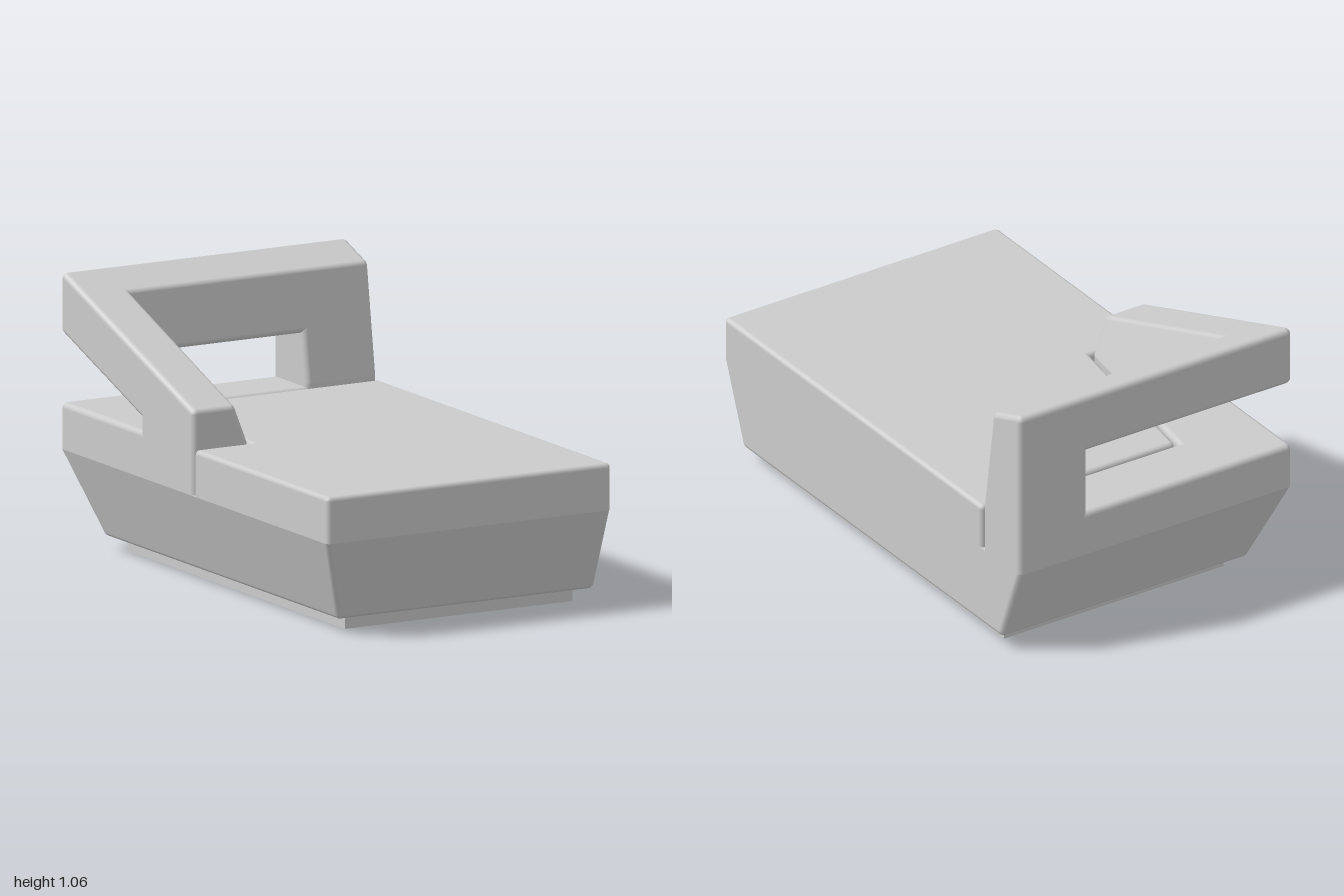
import * as THREE from 'three';
import { ConvexGeometry } from 'three/addons/geometries/ConvexGeometry.js';

const material = new THREE.MeshStandardMaterial({ color: 0xcccccc });
const V = (x, y, z) => new THREE.Vector3(x, y, z);

// Half-space: outward normal n, through point p; sharp planes get no rounding
function plane(n, p, sharp = false) {
  const normal = V(...n).normalize();
  return { n: normal, d: normal.dot(V(...p)), sharp };
}
const left = (x) => plane([-1, 0, 0], [x, 0, 0]);
const right = (x) => plane([1, 0, 0], [x, 0, 0]);
const front = (z) => plane([0, 0, 1], [0, 0, z]);
const back = (z) => plane([0, 0, -1], [0, 0, z]);
const top = (y, sharp) => plane([0, 1, 0], [0, y, 0], sharp);
const bottom = (y, sharp) => plane([0, -1, 0], [0, y, 0], sharp);

// Point where three planes meet
function meet(a, b, c, da, db, dc) {
  const bc = b.clone().cross(c), ca = c.clone().cross(a), ab = a.clone().cross(b);
  const det = a.dot(bc);
  if (Math.abs(det) < 1e-6) return null;
  return bc.multiplyScalar(da).addScaledVector(ca, db).addScaledVector(ab, dc).divideScalar(det);
}

// Convex solid bounded by planes, with edges and corners rounded to radius r
function roundedSolid(name, planes, r = 0.022) {
  const N = 4, points = [], normals = [];
  const dist = planes.map((p) => p.d - (p.sharp ? 0 : r));
  for (let i = 0; i < planes.length; i++)
    for (let j = i + 1; j < planes.length; j++)
      for (let k = j + 1; k < planes.length; k++) {
        const trio = [planes[i], planes[j], planes[k]];
        const c = meet(...trio.map((p) => p.n), dist[i], dist[j], dist[k]);
        if (!c || planes.some((p, m) => p.n.dot(c) > dist[m] + 1e-6)) continue;
        const sharp = trio.find((p) => p.sharp);
        const round = trio.filter((p) => !p.sharp);
        for (let a = 0; a <= N; a++)
          for (let b = 0; b <= N - a; b++) {
            if (sharp && a + b < N) continue;
            const dir = V(0, 0, 0).addScaledVector(round[0].n, a).addScaledVector(round[1].n, b);
            if (!sharp) dir.addScaledVector(round[2].n, N - a - b);
            dir.normalize();
            const pt = c.clone().addScaledVector(dir, r);
            if (sharp) { // slide along the edge back onto the sharp plane
              const edge = round[0].n.clone().cross(round[1].n);
              pt.addScaledVector(edge, (sharp.d - sharp.n.dot(pt)) / sharp.n.dot(edge));
            }
            points.push(pt);
            normals.push(dir);
          }
      }
  const geometry = new ConvexGeometry(points);
  const pos = geometry.attributes.position, nor = geometry.attributes.normal;
  const flat = planes.filter((p) => p.sharp);
  const v = V(0, 0, 0), n = V(0, 0, 0);
  for (let i = 0; i < pos.count; i++) {
    n.fromBufferAttribute(nor, i);
    if (flat.some((p) => p.n.dot(n) > 0.999)) continue;
    v.fromBufferAttribute(pos, i);
    let best = 0;
    points.forEach((p, m) => {
      if (p.distanceToSquared(v) < points[best].distanceToSquared(v)) best = m;
    });
    nor.setXYZ(i, normals[best].x, normals[best].y, normals[best].z);
  }
  const mesh = new THREE.Mesh(geometry, material);
  mesh.name = name;
  return mesh;
}

export function createModel() {
  const model = new THREE.Group();
  model.name = 'chaise';
  const X = 0.62, shoulder = 0.38, seatY = 0.56, slope = 0.366;

  // Plinth
  const plinth = new THREE.Mesh(new THREE.BoxGeometry(0.995, 0.07, 1.62), material);
  plinth.name = 'plinth';
  plinth.position.set(0.0625, 0.035, 0.002);
  model.add(plinth);

  // Lower body: tapered on three sides, upright on the joining side
  model.add(roundedSolid('lowerBody', [
    plane([-0.325, -0.12, 0], [-X, shoulder, 0]), right(X),
    plane([0, -0.125, 0.325], [0, shoulder, 1]),
    plane([0, -0.125, -0.325], [0, shoulder, -1]),
    bottom(0.055), top(shoulder, true),
  ]));

  // Seat cushion: full-width front and a slanted part between arm and back
  const seat = new THREE.Group();
  seat.name = 'seat';
  seat.add(
    roundedSolid('seatFront', [left(-X), right(X), front(1), back(0),
      top(seatY), bottom(shoulder, true)], 0.018),
    roundedSolid('seatRear', [plane([-1, 0, -0.15], [-0.37, 0, 0]), right(X), front(1),
      back(-0.742), top(seatY), bottom(shoulder, true)], 0.018),
  );
  model.add(seat);

  // Shared faces of the arm and backrest frame
  const slopeTop = plane([0, 1, slope], [0, 0.703, 0]);
  const slopeUnder = plane([0, -1, -slope], [0, 0.465, 0]);
  const armInner = [plane([1, 0.39, 0.15], [-0.38, seatY, 0]), plane([1, 0, 0.15], [-0.38, 0, 0])];
  const backInner = [plane([0, 0.148, 1], [0, seatY, -0.75]), front(-0.752)];
  const floor = bottom(shoulder, true);

  // Frame: ledges, post and foot carry an L-shaped rail around an open corner
  const frame = new THREE.Group();
  frame.name = 'armAndBackrest';
  frame.add(
    roundedSolid('backLedge', [left(-X), right(X), back(-1), backInner[1], top(seatY), floor]),
    roundedSolid('armLedge', [left(-X), armInner[1], back(-1), front(-0.008), top(seatY), floor]),
    roundedSolid('backPost', [left(0.31), right(X), back(-1), ...backInner, slopeTop, floor]),
    roundedSolid('armFoot', [left(-X), ...armInner, back(-0.4), front(-0.008), slopeTop, floor]),
    roundedSolid('backRail', [left(-X), right(X), back(-1), backInner[0], slopeTop, slopeUnder]),
    roundedSolid('armRail', [left(-X), ...armInner, back(-1), front(-0.008), slopeTop, slopeUnder]),
  );
  model.add(frame);
  return model;
}
